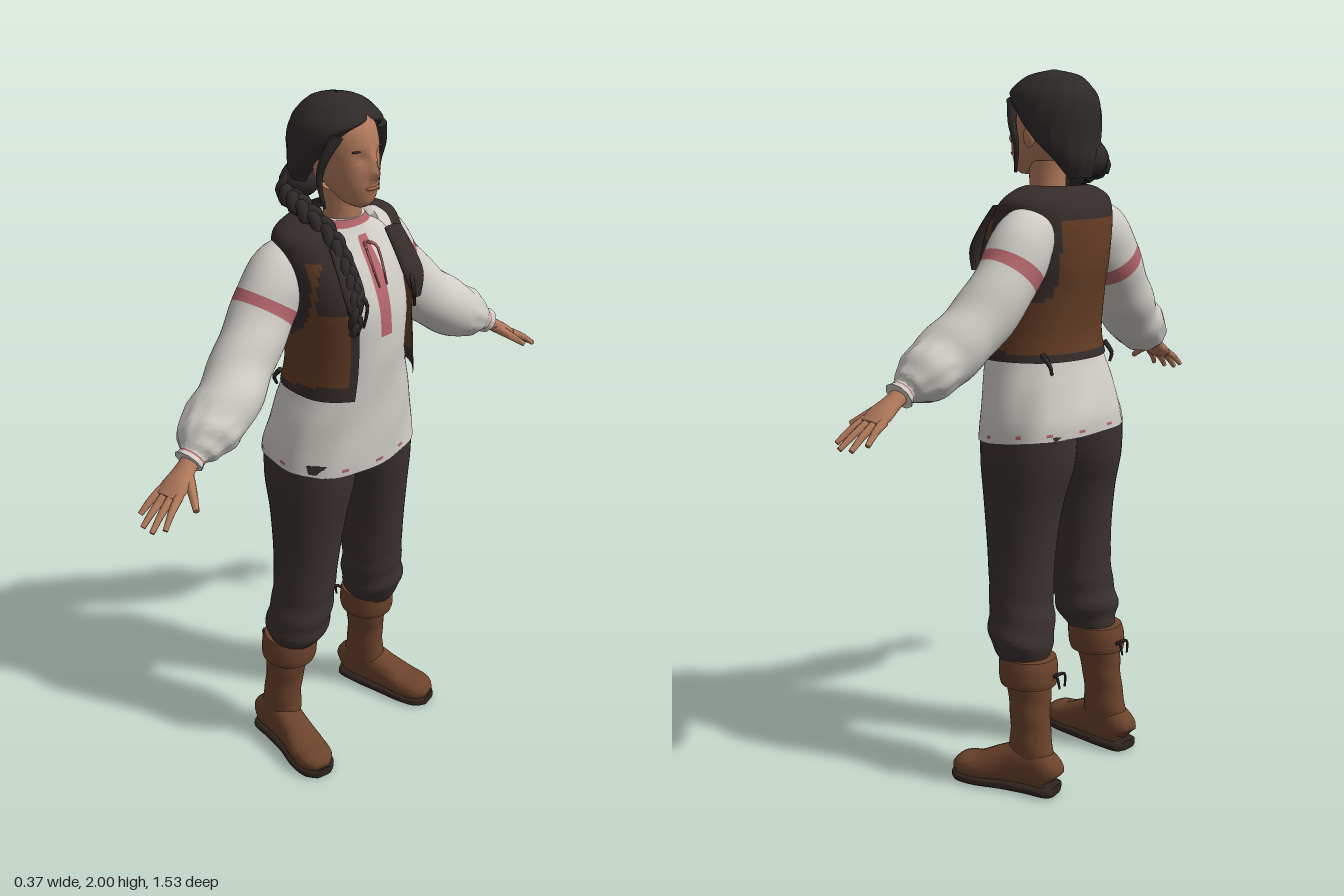
import * as THREE from 'three';
import { toCreasedNormals } from 'three/addons/utils/BufferGeometryUtils.js';

const paint = (name, color, side = THREE.FrontSide) => {
  const m = new THREE.MeshStandardMaterial({ color, side });
  m.name = name;
  return m;
};
const skin = paint('skin', 0xb27a5c);
const lip = paint('lip', 0x9c5f4c);
const hair = paint('hair', 0x2f2a2a, THREE.DoubleSide);
const linen = paint('linen', 0xd0cdc6);
const thread = paint('red thread', 0xb4666c);
const leather = paint('vest leather', 0x623c24, THREE.DoubleSide);
const trim = paint('dark trim', 0x362d2b, THREE.DoubleSide);
const cloth = paint('trouser cloth', 0x3b3231);
const boot = paint('boot leather', 0x6c432c);
const sole = paint('sole', 0x30241f);

const bump = (v, c, w) => Math.exp(-(((v - c) / w) ** 2));
const { sin, cos, abs, sign, min, max, PI } = Math;

// Smooth interpolation through rows of numbers
function sample(rows, t) {
  const i = min(Math.floor(t), rows.length - 2), f = t - i;
  const [a, b, c, d] = [-1, 0, 1, 2].map(k => rows[min(max(i + k, 0), rows.length - 1)]);
  return b.map((_, k) => b[k] + 0.5 * f * (c[k] - a[k] + f * (2 * a[k] - 5 * b[k] + 4 * c[k] - d[k]
    + f * (3 * (b[k] - c[k]) + d[k] - a[k]))));
}

// Skin over rows [x, y, z, halfU, halfV, frontGap]. Rings lie flat unless ref is given.
function loft(name, rows, mats, { seg = 32, steps = 6, pow = 1, ref, swell, bend, pick, cap = true } = {}) {
  mats = [mats].flat();
  const n = (rows.length - 1) * steps, pos = [], buckets = mats.map(() => []);
  const centre = t => new THREE.Vector3(...sample(rows, t).slice(0, 3));
  for (let i = 0; i <= n; i++) {
    const t = i / steps, r = sample(rows, t), c = centre(t), gap = max(0, r[5] || 0);
    const dir = ref ? centre(min(t + 0.05, rows.length - 1)).sub(centre(max(t - 0.05, 0))).normalize()
      : new THREE.Vector3(0, 1, 0);
    const u = (ref || new THREE.Vector3(1, 0, 0)).clone().addScaledVector(dir, -(ref ? ref.dot(dir) : 0)).normalize();
    const v = u.clone().cross(dir);
    for (let j = 0; j <= seg; j++) {
      const q = gap + (j / seg) * (2 * PI - 2 * gap), k = swell ? swell(q, c.y, t, gap) : 1;
      const e = w => (abs(w) < 1e-9 ? 0 : sign(w) * abs(w) ** pow);
      const p = c.clone().addScaledVector(u, r[3] * k * e(cos(q))).addScaledVector(v, r[4] * k * e(sin(q)));
      if (bend) bend(p);
      pos.push(p.x, p.y, p.z);
    }
  }
  const w = seg + 1;
  for (let i = 0; i < n; i++) for (let j = 0; j < seg; j++) {
    const a = i * w + j, d = a + w + 1;
    const mid = new THREE.Vector3(...[0, 1, 2].map(k => (pos[a * 3 + k] + pos[d * 3 + k]) / 2));
    buckets[pick ? pick(mid, (i + 0.5) / steps, j) : 0].push(a, a + w, a + 1, a + 1, a + w, d);
  }
  if (cap) [0, n].forEach(i => {
    const c = centre(i / steps), id = pos.length / 3;
    if (bend) bend(c);
    pos.push(c.x, c.y, c.z);
    for (let j = 0; j < seg; j++) buckets[0].push(id, i * w + j + (i ? 1 : 0), i * w + j + (i ? 0 : 1));
  });
  const g = new THREE.BufferGeometry();
  g.setAttribute('position', new THREE.Float32BufferAttribute(pos, 3));
  g.setIndex(buckets.flat());
  let start = 0;
  buckets.forEach((b, m) => { g.addGroup(start, b.length, m); start += b.length; });
  const mesh = new THREE.Mesh(toCreasedNormals(g, 1.0), mats.length > 1 ? mats : mats[0]);
  mesh.name = name;
  return mesh;
}

const X = new THREE.Vector3(1, 0, 0), Y = new THREE.Vector3(0, 1, 0);
const cord = (name, pts, r, mat, tip = r * 0.5) => loft(name,
  pts.map((p, i) => { const k = r + (tip - r) * i / (pts.length - 1); return [...p, k, k]; }),
  mat, { seg: 8, steps: 4, ref: abs(pts[0][1] - pts.at(-1)[1]) > 0.08 ? X : Y });
function ball(name, mat, p, s) {
  const m = new THREE.Mesh(new THREE.SphereGeometry(1, 16, 12), mat);
  m.name = name; m.position.set(...p); m.scale.set(...s);
  return m;
}

function buildHead(g) {
  g.add(loft('neck', [[-0.01, 1.6, 0, 0.06, 0.062], [0, 1.68, 0, 0.05, 0.052], [0, 1.76, 0, 0.055, 0.05]], skin));
  // Face relief: nose, eye sockets, mouth
  const face = (q, y) => {
    const f = min(q, 2 * PI - q);
    return 1 + 0.2 * bump(f, 0, 0.17) * bump(y, 1.815, 0.018) + 0.09 * bump(f, 0, 0.14) * bump(y, 1.845, 0.025)
      - 0.08 * bump(f, 0.42, 0.2) * bump(y, 1.858, 0.016) + 0.04 * bump(f, 0, 0.3) * bump(y, 1.778, 0.012);
  };
  g.add(loft('head', [[0.065, 1.722, 0, 0.02, 0.02], [0.053, 1.738, 0, 0.048, 0.042], [0.028, 1.78, 0, 0.082, 0.064],
    [0.008, 1.83, 0, 0.103, 0.076], [0, 1.88, 0, 0.108, 0.08], [-0.01, 1.93, 0, 0.103, 0.076],
    [-0.01, 1.965, 0, 0.07, 0.05]], skin, { seg: 64, steps: 8, swell: face }));
  g.add(ball('lips', lip, [0.108, 1.778, 0], [0.009, 0.007, 0.024]));
  // Hair cap, parted over the face and drawn in along its edge
  const locks = (q, y, t, gap) => {
    const e = min(1, min(q - gap, 2 * PI - gap - q) / 0.45);
    return 1 - 0.28 * min(1, gap) * (1 - e) ** 2 + 0.012 * sin(q * 15 + y * 45);
  };
  g.add(loft('hairCap', [[-0.085, 1.715, 0, 0.045, 0.06, 1.9], [-0.06, 1.76, 0, 0.088, 0.095, 1.75],
    [-0.035, 1.82, 0, 0.113, 0.12, 1.35], [-0.025, 1.88, 0, 0.125, 0.125, 0.95], [-0.018, 1.925, 0, 0.125, 0.118, 0.6],
    [-0.016, 1.955, 0, 0.108, 0.1, 0.05], [-0.02, 1.985, 0, 0.07, 0.064, 0], [-0.02, 2, 0, 0.004, 0.004, 0]],
  hair, { seg: 64, swell: locks, cap: false }));
  for (const s of [1, -1]) {
    g.add(ball('ear', skin, [0, 1.825, s * 0.086], [0.018, 0.03, 0.012]));
    g.add(ball('brow', hair, [0.088, 1.876, s * 0.036], [0.009, 0.003, 0.02]));
    g.add(cord('looseLock', [[0.06, 1.92, s * 0.08], [0.04, 1.86, s * 0.108], [0.025, 1.8, s * 0.11],
      [0.035, 1.73, s * 0.1]], 0.016, hair, 0.004));
  }
  g.add(ball('braidKnot', hair, [-0.105, 1.765, 0.045], [0.05, 0.05, 0.06]));
  // Braid: three woven strands over the right shoulder
  const path = [[-0.12, 1.8, 0.04], [-0.11, 1.745, 0.09], [-0.04, 1.715, 0.105], [0.05, 1.665, 0.1],
    [0.12, 1.59, 0.108], [0.158, 1.51, 0.12], [0.165, 1.43, 0.122]];
  for (let k = 0; k < 3; k++) {
    const rows = [];
    for (let i = 0; i <= 36; i++) {
      const [x, y, z] = sample(path, i / 6), a = i * 0.75 + k * 2 * PI / 3, w = 1 - i / 75;
      const n = 0.013 * w * sin(2 * a);
      rows.push([x + n * 0.7, y + n * 0.7, z + 0.018 * w * sin(a), 0.021 * w, 0.02 * w]);
    }
    g.add(loft('braidStrand', rows, hair, { seg: 10, steps: 2, ref: new THREE.Vector3(0, 0, 1) }));
  }
}

function buildTorso(g) {
  // Shirt with embroidered collar, placket and hem
  g.add(loft('shirt', [[-0.015, 1.005, 0, 0.172, 0.235], [-0.013, 1.06, 0, 0.17, 0.228], [0, 1.15, 0, 0.158, 0.205],
    [0.015, 1.25, 0, 0.146, 0.172], [0.02, 1.35, 0, 0.145, 0.163], [0.012, 1.45, 0, 0.148, 0.17],
    [-0.005, 1.55, 0, 0.13, 0.175], [-0.018, 1.62, 0, 0.102, 0.15], [-0.015, 1.66, 0, 0.078, 0.09],
    [-0.008, 1.685, 0, 0.062, 0.066]], [linen, thread], {
    seg: 64, pow: 0.9,
    swell: (q, y) => 1 + 0.014 * sin(q * 9 + y * 14) * max(0, min(1, (1.3 - y) * 5)) + 0.01 * sin(q * 4 + y * 30),
    bend: p => { p.y -= 0.1 * p.x * max(0, min(1, (1.2 - p.y) * 5)); },
    pick: (p, t, j) => +((p.x > 0 && abs(p.z) < 0.02 && p.y > 1.39 && p.y < 1.64) || p.y > 1.665
      || (t > 0.33 && t < 0.5 && j % 5 === 0)),
  }));
  // Open vest: dark yoke, armholes, lapels and lower band around leather panels
  g.add(loft('vest', [[0.02, 1.225, 0, 0.162, 0.19, 0.6], [0.025, 1.3, 0, 0.158, 0.18, 0.58], [0.02, 1.4, 0, 0.162, 0.178, 0.56],
    [0.01, 1.48, 0, 0.165, 0.187, 0.54], [-0.005, 1.56, 0, 0.15, 0.198, 0.5], [-0.02, 1.62, 0, 0.128, 0.2, 0.5],
    [-0.028, 1.66, 0, 0.106, 0.188, 0.6], [-0.03, 1.685, 0, 0.088, 0.135, 0.75], [-0.03, 1.695, 0, 0.075, 0.09, 0.95]],
  [leather, trim], {
    seg: 72, steps: 8, pow: 0.88, cap: false,
    swell: (q, y) => 1 + 0.008 * sin(q * 7 + y * 25),
    pick: (p, t, j) => +(p.y > 1.61 || p.y < 1.25 + max(0, p.x) * 0.15 || j < 2 || j > 69 || (p.y > 1.47 && p.x > 0.08)
      || (abs(p.z) > 0.12 && Math.hypot(p.x + 0.05, (p.y - 1.53) * 0.8) < 0.115)),
  }));
  for (const s of [1, -1]) {
    g.add(loft('lapel', [[0.165, 1.46, s * 0.12, 0.006, 0.012], [0.155, 1.52, s * 0.115, 0.014, 0.035],
      [0.125, 1.58, s * 0.11, 0.014, 0.035], [0.085, 1.64, s * 0.105, 0.012, 0.03]], trim, { seg: 16 }));
    g.add(cord('vestTie', [[0.15, 1.54, s * 0.1], [0.175, 1.5, s * 0.09], [0.172, 1.44, s * 0.1]], 0.007, trim));
    g.add(cord('hemTie', [[-0.09, 1.25, s * 0.15], [-0.115, 1.22, s * 0.15], [-0.115, 1.195, s * 0.14]], 0.008, trim));
    g.add(cord('collarTie', [[0.085, 1.625, s * 0.004], [0.11, 1.61, s * 0.02], [0.15, 1.52, s * 0.014]], 0.005, thread));
  }
}

function buildArm(g, s) {
  const side = rows => rows.map(([x, y, z, ...r]) => [x, y, s * z, ...r]);
  // Full sleeve with an embroidered band, gathered at the cuff
  g.add(loft('sleeve', side([[-0.05, 1.585, 0.12, 0.065, 0.07], [-0.052, 1.545, 0.185, 0.08, 0.092],
    [-0.05, 1.46, 0.25, 0.082, 0.09], [-0.03, 1.36, 0.34, 0.083, 0.086], [0, 1.285, 0.43, 0.086, 0.083],
    [0.012, 1.238, 0.51, 0.08, 0.074], [0.025, 1.213, 0.555, 0.058, 0.052], [0.03, 1.202, 0.575, 0.038, 0.034],
    [0.032, 1.192, 0.593, 0.043, 0.037]]), [linen, thread], {
    seg: 40, ref: X,
    swell: (q, y, t) => 1 + 0.03 * sin(t * 5 + 2 * sin(q + s)) * min(1, t / 3) + (t > 4.5 ? 0.03 * sin(q * 10) : 0),
    pick: (p, t) => +((t > 1.66 && t < 2) || (t > 7.1 && t < 7.3)),
  }));
  g.add(loft('palm', side([[0.032, 1.2, 0.575, 0.026, 0.021], [0.038, 1.175, 0.615, 0.031, 0.019],
    [0.045, 1.152, 0.65, 0.042, 0.018], [0.048, 1.132, 0.682, 0.04, 0.013]]), skin, { seg: 20, ref: X }));
  // Spread fingers and thumb
  [[0.016, 0.008, 0.738, 1.092], [0.036, 0.043, 0.76, 1.078], [0.058, 0.08, 0.762, 1.078], [0.078, 0.108, 0.742, 1.088]]
    .forEach(([x0, x1, z1, y1]) => g.add(cord('finger', [[x0, 1.14, s * 0.668],
      [(x0 + x1) / 2, (1.147 + y1) / 2, s * (0.672 + z1) / 2], [x1, y1, s * z1]], 0.0125, skin, 0.007)));
  g.add(cord('thumb', [[0.05, 1.17, s * 0.615], [0.09, 1.148, s * 0.635], [0.135, 1.12, s * 0.662]], 0.018, skin, 0.008));
}

function buildLeg(g, s) {
  const side = rows => rows.map(([x, y, z, ...r]) => [x, y, s * z, ...r]);
  g.add(loft('trouserLeg', side([[-0.04, 0.375, 0.168, 0.068, 0.062], [-0.03, 0.415, 0.165, 0.085, 0.085],
    [-0.025, 0.46, 0.16, 0.094, 0.096], [-0.015, 0.55, 0.148, 0.092, 0.09], [-0.01, 0.68, 0.14, 0.1, 0.09],
    [-0.01, 0.82, 0.13, 0.118, 0.1], [-0.015, 0.93, 0.118, 0.14, 0.115], [-0.015, 1.03, 0.112, 0.147, 0.115]]), cloth, {
    seg: 40, swell: (q, y) => 1 + 0.035 * sin(y * 75 + 2 * sin(q + s)) * max(0, min(1, (0.65 - y) * 5)),
  }));
  // Tall boot with a turned cuff
  g.add(loft('bootShaft', side([[-0.09, 0.05, 0.19, 0.068, 0.045], [-0.078, 0.12, 0.188, 0.068, 0.05],
    [-0.072, 0.2, 0.184, 0.06, 0.05], [-0.065, 0.27, 0.178, 0.064, 0.054], [-0.06, 0.33, 0.174, 0.068, 0.06]]), boot,
  { swell: (q, y) => 1 + 0.02 * sin(y * 70 + 2 * sin(q)) }));
  g.add(loft('bootCuff', side([[-0.058, 0.312, 0.173, 0.08, 0.074], [-0.057, 0.33, 0.172, 0.084, 0.078],
    [-0.055, 0.365, 0.17, 0.085, 0.077], [-0.052, 0.39, 0.168, 0.082, 0.073]]), boot, { pow: 0.95 }));
  const foot = side([[-0.16, 0.05, 0.185, 0.02, 0.022], [-0.145, 0.06, 0.187, 0.05, 0.044], [-0.075, 0.075, 0.194, 0.068, 0.048],
    [0, 0.062, 0.208, 0.054, 0.05], [0.07, 0.046, 0.225, 0.038, 0.057], [0.125, 0.041, 0.236, 0.032, 0.05],
    [0.152, 0.036, 0.242, 0.014, 0.024]]);
  g.add(loft('bootFoot', foot, boot, { ref: Y, pow: 0.85 }));
  g.add(loft('bootSole', foot.map(([x, , z, , b]) => [x * 1.02, x < -0.05 ? 0.014 : 0.013, z, 0.014, b + 0.004]),
    sole, { ref: Y, pow: 0.5 }));
  for (const d of [-1, 1]) g.add(cord('bootTie', [[-0.135, 0.34, s * 0.16], [-0.16, 0.35, s * (0.16 + d * 0.018)],
    [-0.165, 0.315, s * (0.16 + d * 0.012)]], 0.006, trim));
}

export function createModel() {
  const model = new THREE.Group();
  model.name = 'figure';
  const part = (name, build, ...args) => {
    const g = new THREE.Group();
    g.name = name;
    build(g, ...args);
    model.add(g);
  };
  part('head', buildHead);
  part('torso', buildTorso);
  for (const [s, label] of [[1, 'right'], [-1, 'left']]) {
    part(label + 'Arm', buildArm, s);
    part(label + 'Leg', buildLeg, s);
  }
  return model;
}
